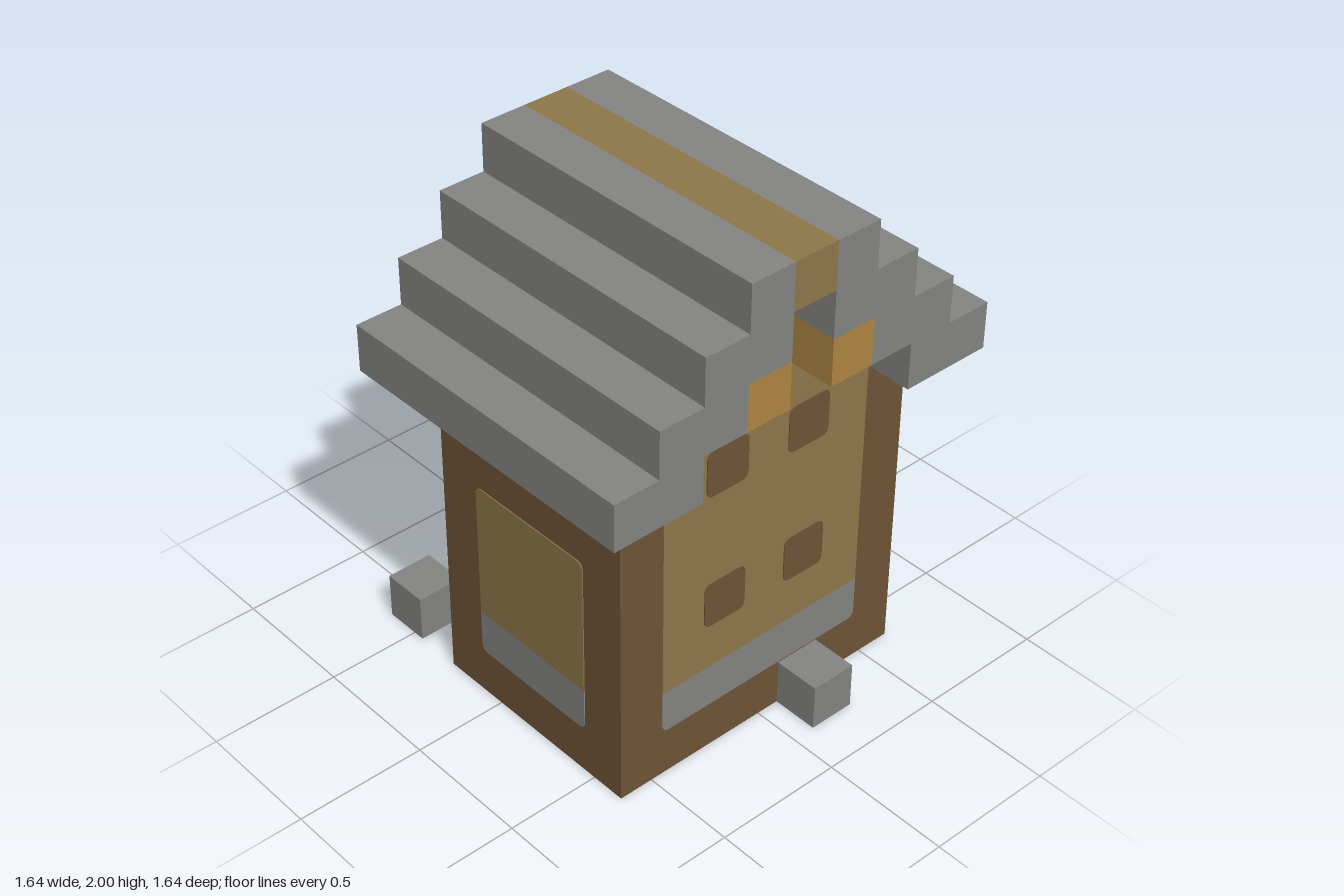
import * as THREE from 'three';

const U = 2 / 11; // one block
const T = 0.004;  // thickness of painted plates

export function createModel() {
  const root = new THREE.Group();
  root.name = 'blockHouse';

  const mat = (name, color) => {
    const m = new THREE.MeshStandardMaterial({ color });
    m.name = name;
    return m;
  };
  const stone = mat('stone', 0x858583);
  const tan = mat('tan', 0x8f774a);
  const brown = mat('brown', 0x6f5438);
  const amber = mat('amber', 0xb08643);

  // Box given by its limits in block units
  const block = (name, m, x0, x1, y0, y1, z0, z1) => {
    const mesh = new THREE.Mesh(new THREE.BoxGeometry((x1 - x0) * U, (y1 - y0) * U, (z1 - z0) * U), m);
    mesh.position.set((x0 + x1) / 2 * U, (y0 + y1) / 2 * U, (z0 + z1) / 2 * U);
    mesh.name = name;
    root.add(mesh);
    return mesh;
  };

  // Thin plate in block units; rb and rt round its bottom and top corners
  const plateGeo = (a0, a1, b0, b1, rb, rt) => {
    const [l, r, b, t] = [a0 * U, a1 * U, b0 * U, b1 * U];
    const s = new THREE.Shape();
    s.moveTo(l + rb, b);
    s.lineTo(r - rb, b);
    if (rb) s.quadraticCurveTo(r, b, r, b + rb);
    s.lineTo(r, t - rt);
    if (rt) s.quadraticCurveTo(r, t, r - rt, t);
    s.lineTo(l + rt, t);
    if (rt) s.quadraticCurveTo(l, t, l, t - rt);
    s.lineTo(l, b + rb);
    if (rb) s.quadraticCurveTo(l, b, l + rb, b);
    return new THREE.ExtrudeGeometry(s, { depth: T, bevelEnabled: false, curveSegments: 4 });
  };
  const plate = (name, m, geo, x, z, turn) => {
    const mesh = new THREE.Mesh(geo, m);
    mesh.name = name;
    mesh.position.set(x * U, 0, z * U);
    mesh.rotation.y = turn;
    root.add(mesh);
    return mesh;
  };

  // Timber body and stepped gable filling
  block('body', brown, -1.5, 3.5, 0, 7, -3.5, 3.5);
  for (let i = 0; i < 3; i++) block('gable', tan, -1.5, 3.5, 7 + i, 8 + i, i - 2.5, 2.5 - i);

  // Front and back wall panels with stone footing
  const R = 0.03;
  for (const side of [1, -1]) {
    const [a, b] = side > 0 ? [-0.5, 2.5] : [-2.5, 0.5];
    const turn = side > 0 ? 0 : Math.PI;
    plate('wallFooting', stone, plateGeo(a, b, 1.05, 2, R, 0), 0, 3.5 * side, turn);
    plate('wallPanel', tan, plateGeo(a, b, 2, 5, 0, R), 0, 3.5 * side, turn);
    plate('upperPanel', tan, plateGeo(a, b, 6, 7, R, 0), 0, 3.5 * side, turn);
  }

  // Left gable wall with windows
  const Q = Math.PI / 2;
  plate('gableFooting', stone, plateGeo(-2.5, 2.5, 1.05, 2, R, 0), 3.5, 0, Q);
  plate('gableWall', tan, plateGeo(-2.5, 2.5, 2, 8, 0, 0), 3.5, 0, Q);
  for (const y of [3, 6]) {
    for (const z of [-1.5, 0.5]) {
      const w = plate('window', brown, plateGeo(z, z + 1, y, y + 1, R, R), 3.5, 0, Q);
      w.position.x += T;
    }
  }
  plate('gableWindow', brown, plateGeo(-0.5, 0.5, 8, 9, 0, 0), 3.5, 0, Q);
  for (const z of [-1.5, 0.5]) block('lamp', amber, 3.5, 4.5, 8, 9, z, z + 1);

  // Right gable wall above the bay
  plate('rightWall', tan, plateGeo(-2.5, 2.5, 6, 8, 0, 0), -1.5, 0, -Q);

  // Stepped roof
  for (let i = 0; i < 4; i++) {
    const inner = Math.max(0.5, 2.5 - i), outer = 4.5 - i;
    block('roofStep', stone, -2.5, 4.5, 7 + i, 8 + i, inner, outer);
    block('roofStep', stone, -2.5, 4.5, 7 + i, 8 + i, -outer, -inner);
  }
  block('ridge', tan, -2.5, 4.5, 10, 11, -0.5, 0.5);

  // Stepped bay on the right side
  for (const [x, half] of [[-2.5, 2.5], [-3.5, 1.5]]) {
    block('bayBase', brown, x, x + 1, 0, 1, -half, half);
    block('bayWall', stone, x, x + 1, 1, 5, -half, half);
    block('bayTop', tan, x, x + 1, 5, 6, -half, half);
  }
  plate('bayPanel', tan, plateGeo(-0.5, 0.5, 2, 4, 0, 0), -3.5, 0, -Q);
  block('stepBase', brown, -4.5, -3.5, 0, 1, -0.5, 0.5);
  block('stepTop', stone, -4.5, -3.5, 1, 2, -0.5, 0.5);

  // Loose stones around the house
  for (const [x, z] of [[-4.5, -3.5], [-3.5, 2.5], [3.5, -1.5]]) {
    block('looseStone', stone, x, x + 1, 0, 1, z, z + 1);
  }
  return root;
}
